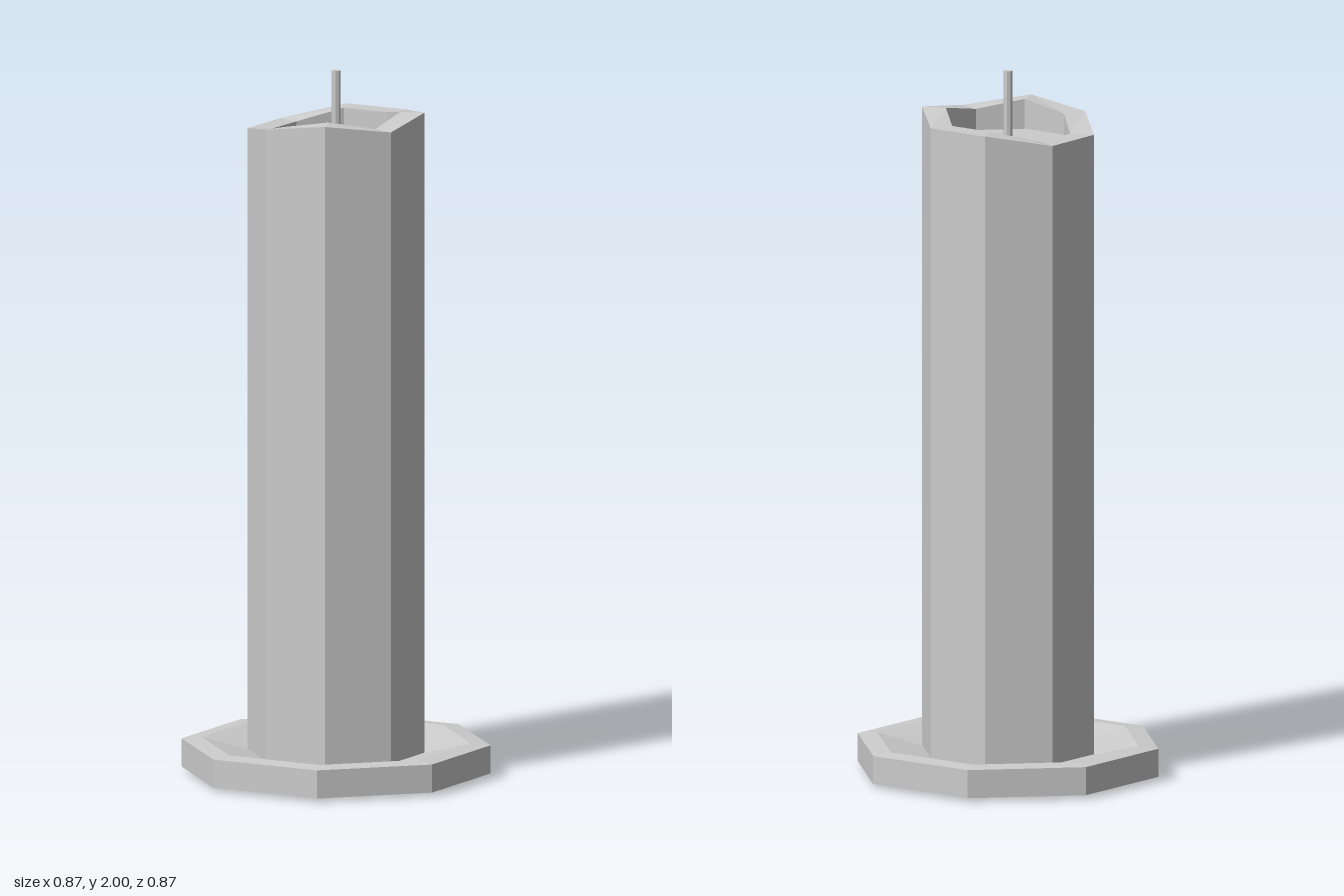
import * as THREE from 'three';

const SIDES = 8;
const material = new THREE.MeshStandardMaterial({ color: 0xcccccc, flatShading: true });

// Faceted octagonal turning from [radius, height] pairs; reshape may move its vertices.
function turned(name, profile, reshape) {
  const points = profile.map(([r, y]) => new THREE.Vector2(r, y));
  const lathe = new THREE.LatheGeometry(points, SIDES);
  if (reshape) reshape(lathe.attributes.position, points.length);
  const geometry = lathe.toNonIndexed();
  geometry.computeVertexNormals();
  const mesh = new THREE.Mesh(geometry, material);
  mesh.name = name;
  return mesh;
}

export function createModel() {
  const group = new THREE.Group();
  group.name = 'candle';

  // Shallow dish with a narrow sloping lip
  group.add(turned('dish', [
    [0, 0], [0.435, 0.01], [0.435, 0.09], [0.378, 0.095], [0.25, 0.065], [0, 0.065],
  ]));

  // Wax body with a melted hollow; the rim rises and sags from corner to corner,
  // starting at the front and going round by way of +x
  const rim = [1.86, 1.885, 1.86, 1.86, 1.828, 1.83, 1.86, 1.885];
  const floor = 1.8;
  group.add(turned('waxBody', [
    [0.249, 0.06], [0.249, 1.86], [0.18, 1.86], [0.18, floor], [0, floor],
  ], (position, count) => {
    for (let i = 0; i < position.count; i++) {
      if (position.getY(i) > floor + 0.01) {
        position.setY(i, rim[Math.floor(i / count) % SIDES]);
      }
    }
  }));

  // Wick
  group.add(turned('wick', [[0.013, floor - 0.01], [0.013, 2], [0, 2]]));

  return group;
}
